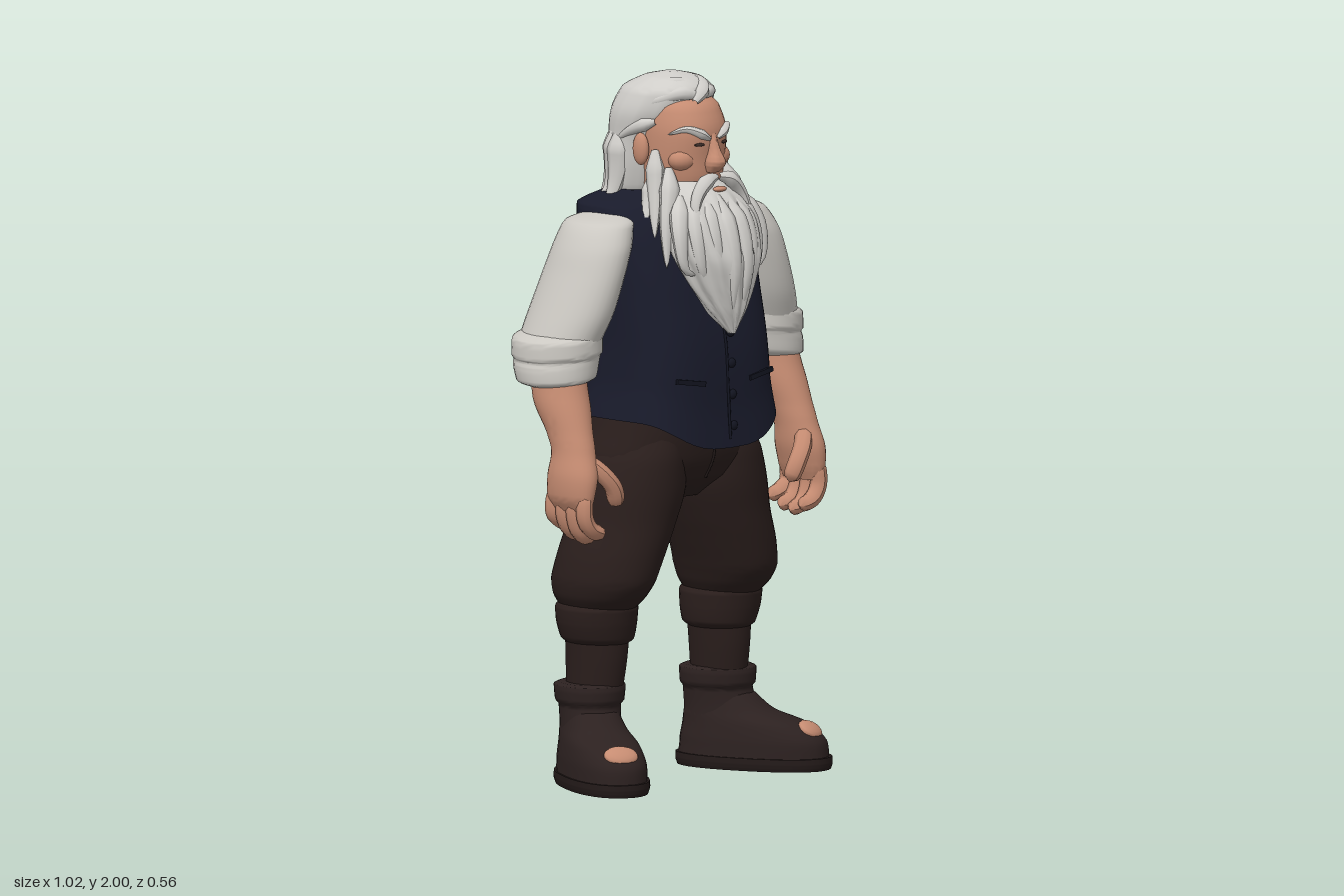
import * as THREE from 'three';
import { toCreasedNormals } from 'three/addons/utils/BufferGeometryUtils.js';

const V = (p) => new THREE.Vector3(...p);
const mat = (name, color) => new THREE.MeshStandardMaterial({ name, color });

// Smooth closed body from horizontal sections [x, y, z, rx, rz], listed top to bottom.
function loft(sections, { seg = 32, square = 1, deform } = {}) {
  const centre = new THREE.CatmullRomCurve3(sections.map((s) => V(s.slice(0, 3))));
  const radius = new THREE.CatmullRomCurve3(sections.map((s) => V([s[3], s[4], 0])));
  const rows = (sections.length - 1) * 5, pos = [], idx = [];
  for (let i = 0; i <= rows; i++) {
    const c = centre.getPoint(i / rows), r = radius.getPoint(i / rows);
    for (let j = 0; j < seg; j++) {
      const a = (j / seg) * Math.PI * 2;
      const bend = (v) => Math.sign(v) * Math.abs(v) ** square;
      const p = V([c.x + bend(Math.cos(a)) * r.x, c.y, c.z + bend(Math.sin(a)) * r.y]);
      if (deform) deform(p, a, i / rows, c);
      pos.push(p.x, p.y, p.z);
      if (i === rows) continue;
      const k = (j + 1) % seg, u = i * seg, l = u + seg;
      idx.push(u + j, u + k, l + j, u + k, l + k, l + j);
    }
  }
  const top = pos.length / 3, last = rows * seg;
  pos.push(...centre.getPoint(0).toArray(), ...centre.getPoint(1).toArray());
  for (let j = 0; j < seg; j++) {
    const k = (j + 1) % seg;
    idx.push(top, k, j, top + 1, last + j, last + k);
  }
  const g = new THREE.BufferGeometry();
  g.setAttribute('position', new THREE.Float32BufferAttribute(pos, 3));
  g.setIndex(idx);
  return toCreasedNormals(g, 0.9);
}

// Round strand along a path; profile(t) scales its radius.
const lockShape = (t) => Math.min(1, 0.35 + t * 3) * (1 - t) ** 0.6;
const fingerShape = (t) => Math.sqrt(Math.max(0, 1 - Math.abs(2 * t - 1) ** 7));
const lineShape = () => 1;
function strand(points, r, profile = lockShape) {
  const curve = new THREE.CatmullRomCurve3(points.map(V)), n = 14, radial = 8;
  const g = new THREE.TubeGeometry(curve, n, r, radial), p = g.attributes.position;
  for (let i = 0; i < p.count; i++) {
    const t = Math.floor(i / (radial + 1)) / n, c = curve.getPointAt(t);
    const v = new THREE.Vector3().fromBufferAttribute(p, i).sub(c).multiplyScalar(profile(t)).add(c);
    p.setXYZ(i, v.x, v.y, v.z);
  }
  g.computeVertexNormals();
  return g;
}

const blob = (x, y, z, rx, ry, rz) => new THREE.SphereGeometry(1, 16, 12).scale(rx, ry, rz).translate(x, y, z);

// Reflects a geometry across x = 0 and restores its winding.
function mirror(geo) {
  const g = geo.index ? geo.toNonIndexed() : geo.clone();
  g.scale(-1, 1, 1);
  for (const a of Object.values(g.attributes)) {
    const s = a.itemSize, d = a.array;
    for (let i = 0; i < a.count; i += 3)
      for (let k = 0; k < s; k++) {
        const u = i * s + k, w = (i + 2) * s + k;
        [d[u], d[w]] = [d[w], d[u]];
      }
  }
  return g;
}

export function createModel() {
  const root = new THREE.Group();
  root.name = 'beardedMan';
  const hair = mat('whiteHair', 0xcfcdc9), shirt = mat('shirtLinen', 0xcbc8c2), skin = mat('skin', 0xc68c72);
  const vest = mat('navyVest', 0x191b2b), trim = mat('darkTrim', 0x131521), pants = mat('brownTrousers', 0x2a1e1c);
  const boot = mat('bootLeather', 0x2c2120), sole = mat('bootSole', 0x231a19), eye = mat('eyeDark', 0x3a2c28);
  const add = (name, m, geo) => {
    const mesh = new THREE.Mesh(geo, m);
    mesh.name = name;
    root.add(mesh);
  };
  const both = (name, m, geo) => {
    add(name + 'Left', m, geo);
    add(name + 'Right', m, mirror(geo));
  };

  // Vest with square shoulders and a pointed front hem
  add('vest', vest, loft([
    [0, 1.668, -0.1, 0.13, 0.08], [0, 1.635, -0.085, 0.245, 0.135], [0, 1.6, -0.07, 0.253, 0.15],
    [0, 1.53, -0.055, 0.252, 0.175], [0, 1.4, -0.035, 0.247, 0.2], [0, 1.25, -0.002, 0.243, 0.202],
    [0, 1.14, 0.008, 0.248, 0.2], [0, 1.04, 0, 0.268, 0.22],
  ], {
    seg: 56, square: 0.64,
    deform: (p, a, t) => { p.y -= 0.085 * Math.max(0, Math.sin(a)) ** 4 * Math.max(0, (t - 0.65) / 0.35); },
  }));
  for (let i = 0; i < 4; i++) add('vestButton', trim, blob(0.018, 1.28 - i * 0.088, 0.199 + i * 0.004, 0.014, 0.014, 0.009));
  add('vestOpening', trim, strand([[0, 1.36, 0.174], [0, 1.25, 0.199], [0, 1.14, 0.207], [0, 0.98, 0.218]], 0.004, lineShape));
  add('vestBackSeam', trim, strand([[0, 1.6, -0.219], [0, 1.4, -0.235], [0, 1.25, -0.203], [0, 1.14, -0.191], [0, 1.04, -0.22]], 0.004, lineShape));
  both('vestPocket', trim, new THREE.BoxGeometry(0.1, 0.014, 0.009).rotateZ(0.15).rotateY(0.12).translate(0.135, 1.15, 0.199));

  // Trousers: hips, baggy legs, gathered knee cuffs and lower legs
  add('hips', pants, loft([
    [0, 1.1, -0.01, 0.225, 0.165], [0, 1.0, -0.025, 0.252, 0.182], [0, 0.92, -0.035, 0.275, 0.178],
    [0, 0.86, -0.035, 0.25, 0.15], [0, 0.8, -0.04, 0.1, 0.09],
  ], { square: 0.85 }));
  both('trouserLeg', pants, loft([
    [0.13, 1.0, -0.028, 0.1, 0.155], [0.145, 0.92, -0.034, 0.135, 0.176], [0.158, 0.83, -0.034, 0.15, 0.174],
    [0.182, 0.74, -0.034, 0.142, 0.165], [0.215, 0.65, -0.042, 0.137, 0.166], [0.235, 0.58, -0.052, 0.128, 0.166],
    [0.24, 0.535, -0.062, 0.115, 0.148], [0.24, 0.495, -0.072, 0.09, 0.115],
  ]));
  add('trouserFly', sole, strand([[0, 1.0, 0.156], [0.005, 0.92, 0.143], [0, 0.86, 0.115]], 0.004, lineShape));
  both('kneeCuff', pants, loft([
    [0.24, 0.52, -0.07, 0.085, 0.105], [0.24, 0.5, -0.074, 0.108, 0.126], [0.239, 0.46, -0.076, 0.107, 0.122],
    [0.235, 0.41, -0.077, 0.096, 0.11], [0.235, 0.395, -0.077, 0.075, 0.09],
  ]));
  both('lowerLeg', pants, loft([
    [0.236, 0.42, -0.077, 0.083, 0.098], [0.238, 0.35, -0.078, 0.077, 0.096], [0.242, 0.24, -0.085, 0.068, 0.088],
  ]));

  // Boots, turned outward
  const place = (g) => g.rotateY(0.44).translate(0.248, 0, -0.095);
  both('bootShaft', boot, place(loft([
    [0, 0.285, 0, 0.085, 0.095], [0, 0.277, 0, 0.1, 0.11], [0, 0.235, 0, 0.096, 0.108], [0, 0.222, 0, 0.086, 0.1],
    [0, 0.17, 0.008, 0.085, 0.105], [0, 0.1, 0.01, 0.09, 0.108],
  ])));
  both('bootFoot', boot, place(loft([
    [0, 0.21, 0.01, 0.07, 0.09], [0, 0.16, 0.035, 0.086, 0.13], [0, 0.125, 0.085, 0.098, 0.185],
    [0, 0.08, 0.107, 0.106, 0.215], [0, 0.025, 0.108, 0.108, 0.222],
  ], { square: 0.87 })));
  both('bootSole', sole, place(loft([[0, 0.036, 0.109, 0.113, 0.229], [0, 0.018, 0.109, 0.114, 0.23], [0, 0, 0.109, 0.109, 0.225]], { square: 0.87 })));
  both('toeHole', skin, place(new THREE.SphereGeometry(1, 20, 8).scale(0.05, 0.016, 0.036).rotateX(0.62).translate(0, 0.112, 0.278)));

  // Sleeves, rolled cuffs and forearms
  both('sleeve', shirt, loft([
    [0.215, 1.618, -0.055, 0.03, 0.06], [0.25, 1.595, -0.052, 0.08, 0.112], [0.285, 1.53, -0.045, 0.09, 0.13],
    [0.315, 1.45, -0.05, 0.092, 0.138], [0.35, 1.35, -0.062, 0.098, 0.14], [0.385, 1.26, -0.078, 0.1, 0.13],
  ]));
  const tilt = (p, a, t, c) => { p.y -= (p.x - c.x) * 0.1; };
  both('rolledCuff', shirt, loft([
    [0.385, 1.298, -0.078, 0.09, 0.115], [0.387, 1.28, -0.08, 0.118, 0.138], [0.388, 1.235, -0.08, 0.12, 0.138],
    [0.388, 1.225, -0.08, 0.114, 0.132], [0.393, 1.21, -0.078, 0.114, 0.13], [0.4, 1.165, -0.07, 0.106, 0.12],
    [0.402, 1.15, -0.068, 0.075, 0.09],
  ], { deform: tilt }));
  both('forearm', skin, loft([
    [0.408, 1.19, -0.055, 0.07, 0.085], [0.415, 1.11, -0.035, 0.072, 0.088], [0.425, 1.02, 0.01, 0.057, 0.074],
    [0.43, 0.97, 0.03, 0.053, 0.071], [0.44, 0.9, 0.038, 0.054, 0.086], [0.447, 0.84, 0.038, 0.043, 0.084],
    [0.445, 0.805, 0.038, 0.025, 0.07],
  ]));
  [0.1, 0.058, 0.016, -0.025].forEach((z, i) => {
    const drop = [0.015, 0, 0.008, 0.03][i];
    both('finger', skin, strand([[0.45, 0.86, z], [0.452, 0.79, z], [0.43, 0.74 + drop, z], [0.38, 0.72 + drop, z]], 0.024, fingerShape));
  });
  both('thumb', skin, strand([[0.425, 0.95, 0.07], [0.385, 0.905, 0.105], [0.355, 0.865, 0.115], [0.335, 0.81, 0.105]], 0.026, fingerShape));

  // Head and face
  add('head', skin, loft([
    [0, 1.96, 0, 0.05, 0.06], [0, 1.91, 0.01, 0.1, 0.115], [0, 1.84, 0.02, 0.113, 0.13], [0, 1.77, 0.02, 0.112, 0.124],
    [0, 1.69, 0.015, 0.1, 0.118], [0, 1.6, -0.04, 0.09, 0.1],
  ], { square: 0.92 }));
  add('nose', skin, loft([
    [0, 1.84, 0.135, 0.012, 0.015], [0, 1.79, 0.148, 0.017, 0.025], [0, 1.757, 0.155, 0.028, 0.034], [0, 1.73, 0.145, 0.02, 0.018],
  ], { seg: 16 }));
  add('lowerLip', skin, blob(0, 1.684, 0.174, 0.024, 0.008, 0.014));
  both('cheek', skin, blob(0.062, 1.765, 0.088, 0.045, 0.035, 0.04));
  both('ear', skin, blob(0.126, 1.79, -0.015, 0.018, 0.046, 0.028));
  both('eye', eye, new THREE.SphereGeometry(1, 12, 8).scale(0.016, 0.005, 0.004).rotateY(0.35).translate(0.048, 1.81, 0.142));
  both('eyebrow', hair, strand([[0.014, 1.824, 0.149], [0.042, 1.84, 0.144], [0.078, 1.854, 0.12], [0.112, 1.838, 0.078]], 0.016));

  // Swept-back hair
  add('hairCap', hair, loft([
    [0, 1.998, -0.02, 0.02, 0.025], [0, 1.985, -0.02, 0.075, 0.085], [0, 1.95, -0.037, 0.122, 0.137],
    [0, 1.89, -0.063, 0.142, 0.142], [0, 1.82, -0.09, 0.14, 0.118], [0, 1.74, -0.1, 0.138, 0.105],
    [0, 1.67, -0.11, 0.13, 0.09], [0, 1.62, -0.12, 0.1, 0.06],
  ], { seg: 48, deform: (p, a) => { p.x *= 1 + 0.015 * Math.sin(a * 14); } }));
  both('hairlineLock', hair, strand([[0.006, 1.938, 0.102], [0.05, 1.948, 0.075], [0.098, 1.928, 0.025], [0.13, 1.9, -0.05]], 0.024));
  both('crownLock', hair, strand([[0.004, 1.972, 0.07], [0.045, 1.972, 0.035], [0.082, 1.958, -0.03], [0.1, 1.93, -0.11]], 0.022));
  add('frontLock', hair, strand([[-0.035, 1.925, 0.11], [0.005, 1.955, 0.098], [0.035, 1.975, 0.055], [0.02, 1.985, -0.03]], 0.024));
  both('templeLock', hair, strand([[0.112, 1.87, 0.03], [0.126, 1.86, 0], [0.133, 1.84, -0.05], [0.13, 1.8, -0.12]], 0.022));
  for (let i = 0; i < 11; i++) {
    const a = Math.PI * (1.04 + 0.92 * (i / 10)), c = Math.cos(a), s = Math.sin(a), side = Math.abs(i - 5);
    const flick = [0.192, 0.155, 0.15, 0.138, 0.14, 0.13][side], low = 1.618 + 0.02 * (i % 2);
    add('napeLock', hair, strand([
      [c * 0.125, 1.83, -0.09 + s * 0.098], [c * 0.13, 1.74, -0.09 + s * 0.092],
      [c * 0.148, 1.67, -0.09 + s * 0.105], [c * 0.182, low, -0.09 + s * flick],
    ], 0.042));
  }

  // Beard: ridged core, cheek locks, fanned locks and moustache
  add('beard', hair, loft([
    [0, 1.705, 0.06, 0.095, 0.085], [0, 1.66, 0.08, 0.128, 0.115], [0, 1.59, 0.11, 0.155, 0.13],
    [0, 1.5, 0.14, 0.14, 0.13], [0, 1.42, 0.165, 0.105, 0.1], [0, 1.35, 0.19, 0.062, 0.065], [0, 1.28, 0.222, 0.008, 0.012],
  ], {
    seg: 72,
    deform: (p, a, t, c) => {
      const k = 1 + 0.05 * Math.sin(a * 14 + t * 4) * Math.min(1, t * 4);
      p.x = c.x + (p.x - c.x) * k;
      p.z = c.z + (p.z - c.z) * k;
    },
  }));
  both('sideburn', hair, strand([[0.112, 1.79, 0.03], [0.122, 1.73, 0.04], [0.142, 1.65, 0.06], [0.172, 1.55, 0.09]], 0.032));
  both('cheekLock', hair, strand([[0.1, 1.74, 0.07], [0.12, 1.68, 0.095], [0.15, 1.59, 0.115], [0.168, 1.47, 0.135]], 0.034));
  both('jawLock', hair, strand([[0.12, 1.71, 0.02], [0.14, 1.65, 0.035], [0.165, 1.61, 0.045], [0.195, 1.575, 0.055]], 0.03));
  for (let i = 0; i < 4; i++) {
    const x = 0.02 + i * 0.037, d = i * 0.04;
    both('beardLock', hair, strand([
      [x * 0.8, 1.665, 0.175 - i * 0.018], [x * 1.15, 1.57, 0.235 - i * 0.022], [x * 1.1, 1.47, 0.258 - i * 0.024],
      [x * 0.78, 1.33 + d, 0.24 - i * 0.018],
    ], 0.034));
  }
  both('moustache', hair, strand([[0.004, 1.718, 0.164], [0.045, 1.708, 0.168], [0.088, 1.66, 0.172], [0.112, 1.57, 0.195]], 0.026));

  return root;
}
